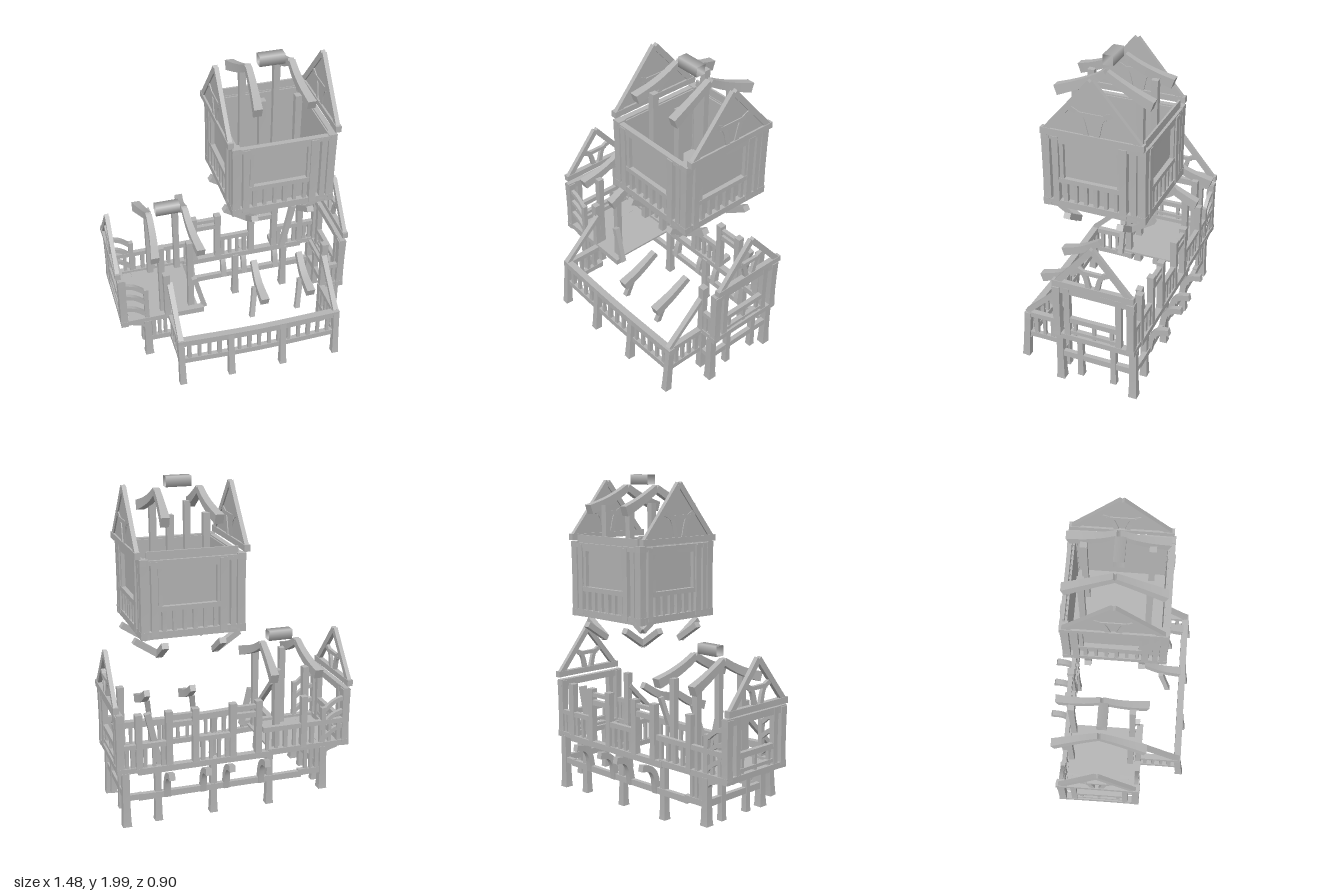
import * as THREE from 'three';

const timber = new THREE.MeshStandardMaterial({ color: 0xb4b4b4, side: THREE.DoubleSide });
timber.name = 'timber grey';
const V = (x, y, z) => new THREE.Vector3(x, y, z);

function add(parent, name, geo, x = 0, y = 0, z = 0) {
  const m = new THREE.Mesh(geo, timber);
  m.name = name;
  m.position.set(x, y, z);
  parent.add(m);
  return m;
}

// Hewn beam swept along points. Depth runs along z (or along x for beams heading in z).
// waist narrows the middle, flare widens the start.
function beam(parent, name, pts, thick, depth, waist = 0.1, flare = 0) {
  const curve = new THREE.CatmullRomCurve3(pts.map(p => V(...p)));
  const d = V(...pts[pts.length - 1]).sub(V(...pts[0]));
  const ref = Math.abs(d.z) > Math.abs(d.x) ? V(1, 0, 0) : V(0, 0, 1);
  const geo = new THREE.BoxGeometry(1, 1, 1, 1, pts.length > 2 ? 8 : 4, 1);
  const p = geo.attributes.position;
  for (let i = 0; i < p.count; i++) {
    const t = p.getY(i) + 0.5, tan = curve.getTangent(t);
    const k = 1 - waist * Math.sin(Math.PI * t) + flare * (1 - t);
    const side = tan.cross(ref).normalize();
    const v = curve.getPoint(t).addScaledVector(side, p.getX(i) * thick * k).addScaledVector(ref, p.getZ(i) * depth * k);
    p.setXYZ(i, v.x, v.y, v.z);
  }
  geo.computeVertexNormals();
  return add(parent, name, geo);
}
const post = (g, name, x, z, y0, y1, w = 0.045, flare = 0) => beam(g, name, [[x, y0, z], [x, y1, z]], w, w, 0.12, flare);
const railX = (g, name, x0, x1, y, z, h = 0.035, d = 0.03) => beam(g, name, [[x0, y, z], [x1, y, z]], h, d, 0.1);
const railZ = (g, name, x, z0, z1, y, h = 0.035, d = 0.03) => beam(g, name, [[x, y, z0], [x, y, z1]], h, d, 0.1);

// Row of small uprights
function balusters(g, x0, z0, x1, z1, y0, y1, n) {
  for (let i = 0; i < n; i++) {
    const t = (i + 0.5) / n;
    post(g, 'baluster', x0 + (x1 - x0) * t, z0 + (z1 - z0) * t, y0, y1, i % 3 ? 0.022 : 0.027);
  }
}

// Triangular gable frame in the z-y plane
function gable(parent, x, zc, half, y0, y1, panel) {
  const g = new THREE.Group();
  g.name = 'gable';
  parent.add(g);
  const h = y1 - y0;
  railZ(g, 'gableTie', x, zc - half, zc + half, y0 + 0.018, 0.038, 0.034);
  for (const s of [-1, 1]) {
    beam(g, 'gableSlope', [[x, y0 + 0.01, zc + s * (half - 0.015)], [x, y1 - 0.02, zc]], 0.036, 0.026, 0.05);
    beam(g, 'gableArch', [[x, y0 + h * 0.5, zc + s * half * 0.45], [x, y0 + h * 0.4, zc + s * half * 0.22], [x, y0 + 0.03, zc + s * half * 0.1]], 0.03, 0.022, 0.1);
  }
  beam(g, 'gableCollar', [[x, y0 + h * 0.42, zc - half * 0.3], [x, y0 + h * 0.42, zc + half * 0.3]], 0.025, 0.022);
  if (panel) {
    const s = new THREE.Shape([new THREE.Vector2(-half + 0.02, 0), new THREE.Vector2(half - 0.02, 0), new THREE.Vector2(0, h - 0.02)]);
    const m = add(g, 'gablePanel', new THREE.ExtrudeGeometry(s, { depth: 0.008, bevelEnabled: false }), x - 0.004, y0, zc);
    m.rotation.y = Math.PI / 2;
  }
}

// Pair of flared rafter trusses with their posts and the ridge block
function roof(parent, xc, zc, y, footY, spread) {
  const g = new THREE.Group();
  g.name = 'roofFrame';
  parent.add(g);
  for (const sx of [-1, 1]) for (const sz of [-1, 1]) {
    beam(g, 'rafter', [
      [xc + sx * (spread + 0.01), y - 0.125, zc + sz * 0.28], [xc + sx * (spread - 0.005), y - 0.09, zc + sz * 0.18],
      [xc + sx * (spread - 0.015), y - 0.045, zc + sz * 0.08], [xc + sx * (spread - 0.018), y, zc],
    ], 0.042, 0.036, 0.05, 0.4);
    post(g, 'rafterPost', xc + sx * (spread - 0.04), zc + sz * 0.19, footY, y - 0.1, 0.04);
  }
  const block = add(g, 'ridgeBlock', new THREE.CylinderGeometry(0.0424, 0.0424, 0.15, 4, 1, true).rotateY(Math.PI / 4).rotateZ(Math.PI / 2), xc, y + 0.05, zc + 0.015);
  block.name = 'ridgeBlock';
}

// Upper tower: four panelled walls, floor, corner brackets, roof
function tower(root) {
  const g = new THREE.Group();
  g.name = 'tower';
  root.add(g);
  const cx = 0.257, cz = -0.037, R = 0.307;
  for (let k = 0; k < 4; k++) {
    const w = new THREE.Group();
    w.name = 'towerWall';
    w.position.set(cx, 0, cz);
    w.rotation.y = k * Math.PI / 2;
    g.add(w);
    const z = R - 0.018;
    add(w, 'wallPanel', new THREE.BoxGeometry(0.56, 0.43, 0.008), 0, 1.37, R - 0.038);
    post(w, 'cornerPost', -R + 0.025, R - 0.025, 1.145, 1.6, 0.05);
    for (const [x, s] of [[-0.225, 0.04], [0.175, 0.045], [0.235, 0.035]]) post(w, 'wallPost', x, z, 1.16, 1.585, s);
    railX(w, 'sillBeam', -R, R, 1.165, z, 0.045, 0.035);
    railX(w, 'headBeam', -R, R, 1.58, z, 0.028, 0.035);
    railX(w, 'windowHead', -0.21, 0.16, 1.56, z, 0.03, 0.028);
    railX(w, 'windowSill', -0.21, 0.16, 1.315, z, 0.03, 0.03);
    for (const x of [-0.19, 0.15]) post(w, 'windowJamb', x, z, 1.32, 1.56, 0.025);
    balusters(w, -0.2, z, 0.16, z, 1.18, 1.31, 6);
  }
  add(g, 'towerFloor', new THREE.BoxGeometry(0.58, 0.015, 0.58), cx, 1.15, cz);
  add(g, 'rearPlate', new THREE.BoxGeometry(0.53, 0.06, 0.012), cx, 1.61, -0.32);
  // brackets under each corner
  for (const sx of [-1, 1]) for (const sz of [-1, 1]) {
    const x = cx + sx * 0.17, z = cz + sz * 0.16;
    beam(g, 'cornerBracket', [[x - sx * 0.005, 1.0, z], [cx + sx * 0.315, 1.1, z]], 0.035, 0.04, 0);
    beam(g, 'cornerBracket', [[x, 1.0, z - sz * 0.005], [x, 1.1, cz + sz * 0.305]], 0.035, 0.04, 0);
  }
  gable(g, -0.058, -0.04, 0.3, 1.605, 1.97, true);
  gable(g, 0.572, -0.04, 0.3, 1.605, 1.97, true);
  roof(g, 0.257, -0.045, 1.92, 1.16, 0.145);
}

// Outer gable wall of a lower house; s is the side it faces
function endWall(root, x, s) {
  const g = new THREE.Group();
  g.name = 'endWall';
  root.add(g);
  for (const z of [0.14, -0.32]) post(g, 'cornerPost', x, z, 0.36, 0.705, 0.048);
  for (const z of [0.075, -0.245]) post(g, 'windowPost', x, z, 0.37, 0.71, 0.038);
  railZ(g, 'headBeam', x, 0.165, -0.345, 0.69, 0.045, 0.035);
  railZ(g, 'windowSill', x, 0.08, -0.25, 0.485, 0.035);
  railZ(g, 'lowerRail', x, 0.08, -0.25, 0.4, 0.022);
  railZ(g, 'sillBeam', x, 0.165, -0.345, 0.36, 0.038, 0.045);
  for (const z of [0.03, -0.09, -0.2]) post(g, 'baluster', x, z, 0.37, 0.48, 0.022);
  gable(g, x + s * 0.018, -0.095, 0.25, 0.725, 1.035, false);
}

export function createModel() {
  const root = new THREE.Group();
  root.name = 'timberFramedHouse';
  tower(root);

  // Lower houses
  endWall(root, -0.705, -1);
  endWall(root, 0.702, 1);
  roof(root, -0.358, -0.1, 0.965, 0.36, 0.13);
  add(root, 'houseFloor', new THREE.BoxGeometry(0.44, 0.012, 0.45), -0.45, 0.355, -0.085);
  for (const z of [0.14, -0.325]) {
    railX(root, 'sillBeam', -0.725, -0.2, 0.36, z, 0.038, 0.04);
    railX(root, 'sillBeam', 0.57, 0.725, 0.36, z, 0.035, 0.04);
    railX(root, 'headRail', 0.57, 0.72, 0.505, z, 0.03);
    balusters(root, 0.61, z, 0.68, z, 0.37, 0.5, 2);
    post(root, 'innerPost', 0.59, z, 0.36, 0.7, 0.042);
    post(root, 'innerPost', -0.43, z, 0.36, 0.69, 0.04);
    post(root, 'innerPost', -0.56, z, 0.36, 0.6, 0.03);
    for (const y of [0.64, 0.555, 0.46])
      beam(root, 'slopingBrace', [[-0.69, y + 0.01, z], [-0.63, y - 0.01, z], [-0.56, y - 0.065, z]], 0.025, 0.024, 0);
    // low frames with legs below each house
    beam(root, 'overhangBracket', [[-0.56, 0.25, z], [-0.575, 0.32, z], [-0.65, 0.35, z]], 0.03, 0.03, 0);
    railX(root, 'lowerBeam', -0.58, -0.4, 0.195, z, 0.04, 0.03);
    railX(root, 'lowerBeam', 0.58, 0.69, 0.19, z, 0.038, 0.03);
    post(root, 'leg', -0.56, z, 0.07, 0.35, 0.043, 0.25);
    post(root, 'leg', 0.675, z, 0.01, 0.35, 0.043, 0.25);
    balusters(root, -0.54, z, -0.43, z, 0.2, 0.35, 3);
  }
  for (const x of [-0.56, 0.675]) {
    railZ(root, 'lowerBeam', x, 0.15, -0.33, 0.2, 0.042);
    railZ(root, 'upperBeam', x, 0.15, -0.33, 0.345, 0.035);
    for (const z of [0.01, -0.2]) post(root, 'leg', x, z, 0.07, 0.34, 0.036, 0.1);
  }
  post(root, 'leg', 0.59, 0.14, 0.05, 0.35, 0.042, 0.1);
  beam(root, 'leaningPost', [[-0.19, 0.36, 0.12], [-0.25, 0.6, 0.12]], 0.032, 0.035);
  beam(root, 'leaningPost', [[0.46, 0.36, -0.3], [0.53, 0.69, -0.3]], 0.038, 0.035);

  // Rear wall: railing, window frames, legs and jettied brackets
  const back = -0.325;
  railX(root, 'rearSill', -0.22, 0.6, 0.35, back, 0.04, 0.045);
  railX(root, 'rearLowerBeam', -0.42, 0.6, 0.185, back, 0.04, 0.03);
  for (const [a, b, n] of [[-0.69, -0.17, 9], [0.03, 0.23, 4], [0.42, 0.58, 3]]) {
    railX(root, 'rearRail', a, b, 0.505, back, 0.032, 0.03);
    balusters(root, a, back, b, back, 0.36, 0.5, n);
  }
  for (const x of [-0.06, 0.33]) {
    for (const s of [-1, 1]) post(root, 'windowFramePost', x + s * 0.08, back, 0.36, 0.7, 0.042);
    railX(root, 'windowFrameHead', x - 0.08, x + 0.08, 0.665, back, 0.025);
    railX(root, 'windowFrameRail', x - 0.08, x + 0.08, 0.615, back, 0.035);
  }
  for (const x of [-0.215, 0.14, 0.48]) post(root, 'rearLeg', x, -0.315, 0.015, 0.35, 0.038, 0.25);
  for (const x of [-0.157, 0.063, 0.207, 0.428])
    beam(root, 'rearBracket', [[x, 0.17, -0.325], [x, 0.28, -0.345], [x, 0.325, -0.385], [x, 0.34, -0.45]], 0.04, 0.036, 0.1);

  // Front deck: railing round three sides, flared legs
  const front = 0.395;
  beam(root, 'deckRail', [[-0.43, 0.35, front], [0.08, 0.33, front], [0.61, 0.34, front]], 0.042, 0.042, 0);
  beam(root, 'deckLowerRail', [[-0.42, 0.2, front], [0.08, 0.18, front], [0.6, 0.19, front]], 0.036, 0.03, 0);
  balusters(root, -0.39, front, 0.57, front, 0.19, 0.335, 15);
  for (const x of [-0.41, 0.585]) {
    railZ(root, 'deckSideRail', x, front, 0.13, 0.35, 0.035, 0.038);
    railZ(root, 'deckSideLowerRail', x, front, 0.13, 0.2, 0.036);
    balusters(root, x, 0.37, x, 0.16, 0.2, 0.34, 4);
    beam(root, 'slopingStrut', [[x, 0.365, 0.4], [x, 0.615, 0.14]], 0.03, 0.034);
  }
  for (const x of [-0.41, -0.095, 0.24, 0.59])
    beam(root, 'deckLeg', [[x, 0.03, 0.42], [x, 0.345, 0.395]], 0.042, 0.038, 0.1, 0.15);

  // Low porch rafters and their props
  for (const x of [0.13, 0.425]) {
    beam(root, 'porchRafter', [[x, 0.525, 0.37], [x - 0.005, 0.565, 0.25], [x, 0.645, 0.12]], 0.04, 0.036, 0, 0.4);
    beam(root, 'porchProp', [[x - 0.06, 0.36, 0.3], [x - 0.03, 0.55, 0.25]], 0.032, 0.032);
  }
  return root;
}
